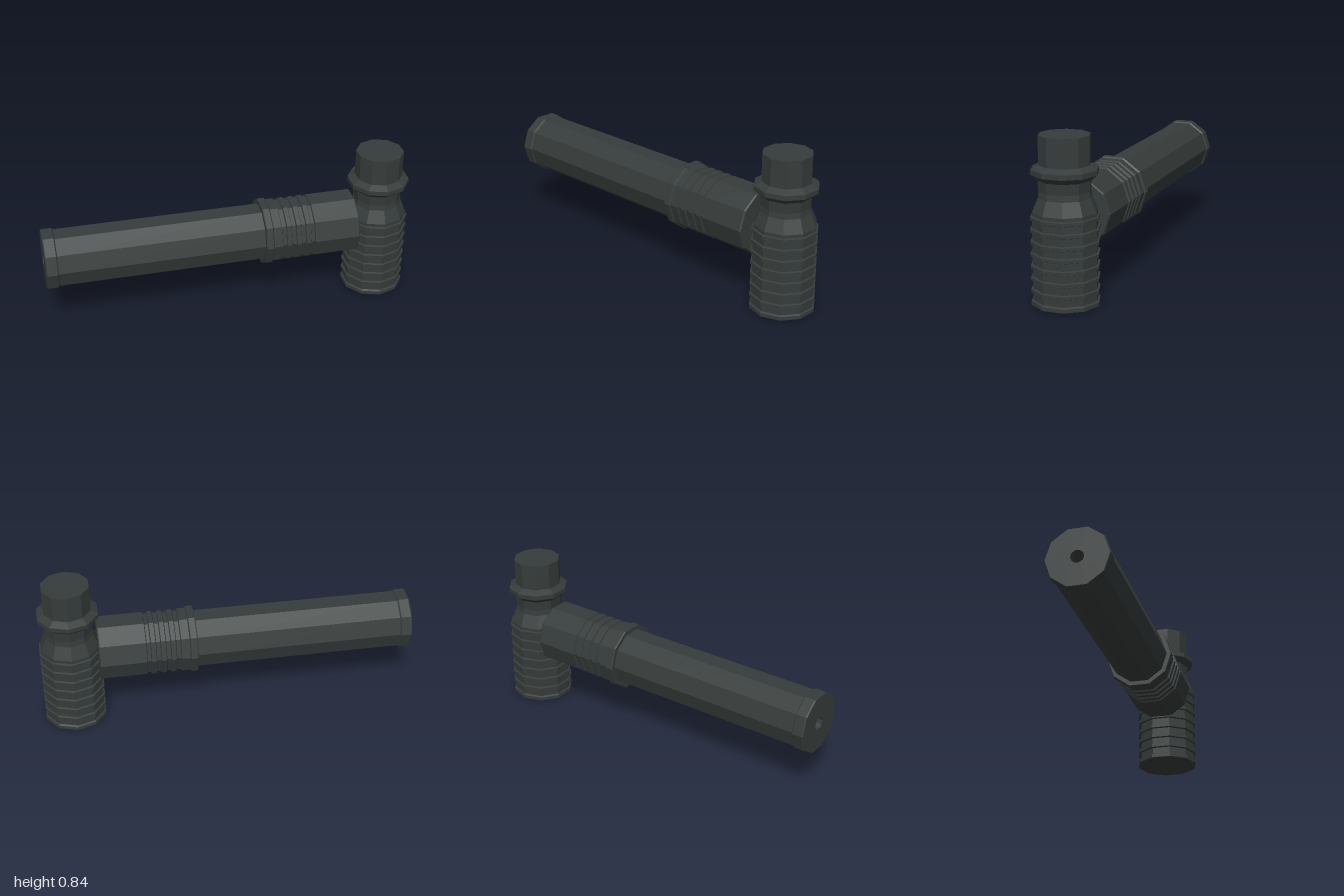
import * as THREE from 'three';

const SIDES = 10;
const dark = new THREE.MeshStandardMaterial({ color: 0x363c3b });
dark.name = 'charcoal';

// Faceted ten-sided turning from [radius, height] points, listed bottom to top
function turned(name, profile) {
  const points = profile.map(([r, h]) => new THREE.Vector2(r, h));
  const geometry = new THREE.LatheGeometry(points, SIDES).toNonIndexed();
  geometry.computeVertexNormals();
  const mesh = new THREE.Mesh(geometry, dark);
  mesh.name = name;
  return mesh;
}

// Raised band with slightly bevelled edges
const band = (low, high, base, r) => [
  [base, low], [r, low + 0.004], [r, high - 0.004], [base, high],
];

export function createModel() {
  const model = new THREE.Group();
  model.name = 'tubeAssembly';

  // Upright canister
  const canister = new THREE.Group();
  canister.name = 'canister';
  canister.position.x = 0.836;

  const ribs = [[0, 0], [0.168, 0], [0.172, 0.004], [0.172, 0.023], [0.162, 0.029]];
  for (let i = 0; i < 7; i++) {
    const y = 0.064 + i * 0.06;
    ribs.push(...band(y, y + 0.024, 0.162, 0.172));
  }
  ribs.push([0.162, 0.465]);
  canister.add(turned('ribbedBody', ribs));
  canister.add(turned('neck', [[0.162, 0.465], [0.132, 0.535], [0.128, 0.565], [0.133, 0.62]]));
  canister.add(turned('flange', [[0.133, 0.62], [0.166, 0.648], [0.166, 0.673], [0.128, 0.693]]));
  canister.add(turned('topPlug', [[0.128, 0.693], [0.128, 0.836], [0, 0.836]]));
  model.add(canister);

  // Horizontal tube, turned so its axis runs along x
  const tube = new THREE.Group();
  tube.name = 'tube';
  tube.position.y = 0.42;
  tube.rotation.z = -Math.PI / 2;

  tube.add(turned('boredEndCap', [
    [0, -0.85], [0.035, -0.85], [0.035, -1], [0.161, -1], [0.165, -0.994],
    [0.165, -0.941], [0.157, -0.935],
  ]));
  tube.add(turned('barrel', [[0.157, -0.935], [0.157, 0.171]]));
  tube.add(turned('collar', [
    [0.157, 0.171], [0.18, 0.171], [0.184, 0.176], [0.184, 0.208], [0.175, 0.214],
  ]));

  const grip = [[0.175, 0.214], [0.175, 0.258], [0.165, 0.262]];
  for (let i = 0; i < 3; i++) {
    const x = 0.284 + i * 0.053;
    grip.push(...band(x, x + 0.032, 0.165, 0.175));
  }
  grip.push([0.165, 0.44], [0.174, 0.444]);
  tube.add(turned('groovedGrip', grip));
  tube.add(turned('sleeve', [[0.174, 0.444], [0.174, 0.686], [0.168, 0.693], [0, 0.693]]));
  model.add(tube);

  return model;
}
